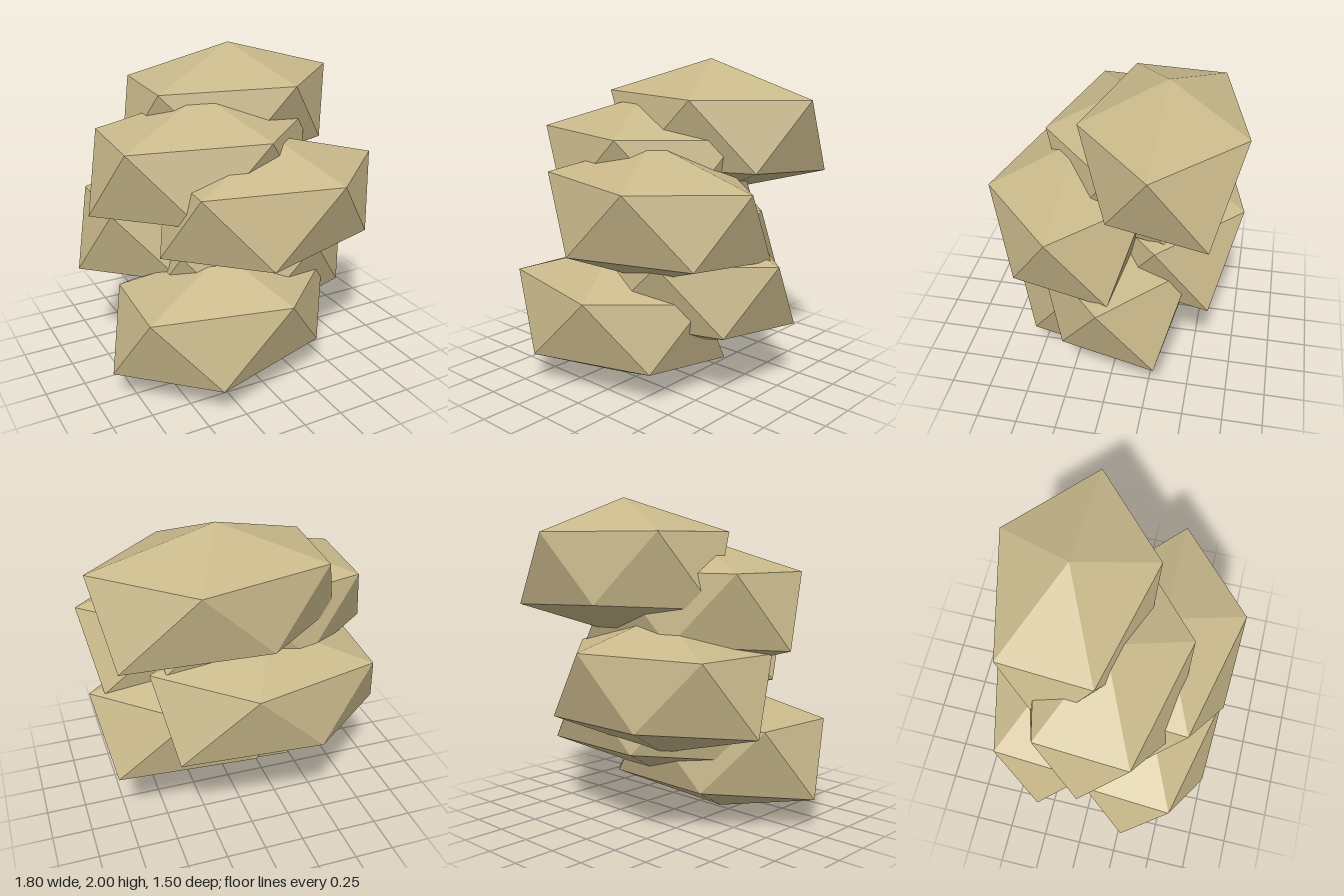
import * as THREE from 'three';

// One faceted boulder: two poles and two staggered rings of five corners
function boulderGeometry() {
  const top = [0, 0.21, 0];
  const bottom = [0, -0.635, 0];
  const upper = [[0.737, 0, 0], [0.22, 0, 0.475], [-0.603, 0, 0.283], [-0.57, 0, -0.28], [0.22, 0, -0.475]];
  const lower = [[0.545, -0.415, 0.257], [-0.235, -0.435, 0.475], [-0.737, -0.435, 0], [-0.205, -0.415, -0.432], [0.647, -0.455, -0.32]];

  const corners = [];
  for (let i = 0; i < 5; i++) {
    const j = (i + 1) % 5;
    corners.push(
      top, upper[j], upper[i],
      upper[i], upper[j], lower[i],
      lower[i], upper[j], lower[j],
      bottom, lower[i], lower[j]
    );
  }
  const geometry = new THREE.BufferGeometry();
  geometry.setAttribute('position', new THREE.Float32BufferAttribute(corners.flat(), 3));
  geometry.computeVertexNormals(); // unshared corners keep each facet flat
  return geometry;
}

export function createModel() {
  const group = new THREE.Group();
  group.name = 'boulderStack';

  const sandstone = new THREE.MeshStandardMaterial({ color: 0xc8b88a });
  sandstone.name = 'sandstone';

  // Boulders climb in even steps, alternating sides and cycling front to back
  const geometry = boulderGeometry();
  const depths = [0.273, 0, -0.277];
  for (let i = 0; i < 6; i++) {
    const boulder = new THREE.Mesh(geometry, sandstone);
    boulder.name = `boulder${i + 1}`;
    boulder.position.set(i % 2 ? 0.163 : -0.163, 0.635 + i * 0.231, depths[i % 3]);
    group.add(boulder);
  }
  return group;
}
